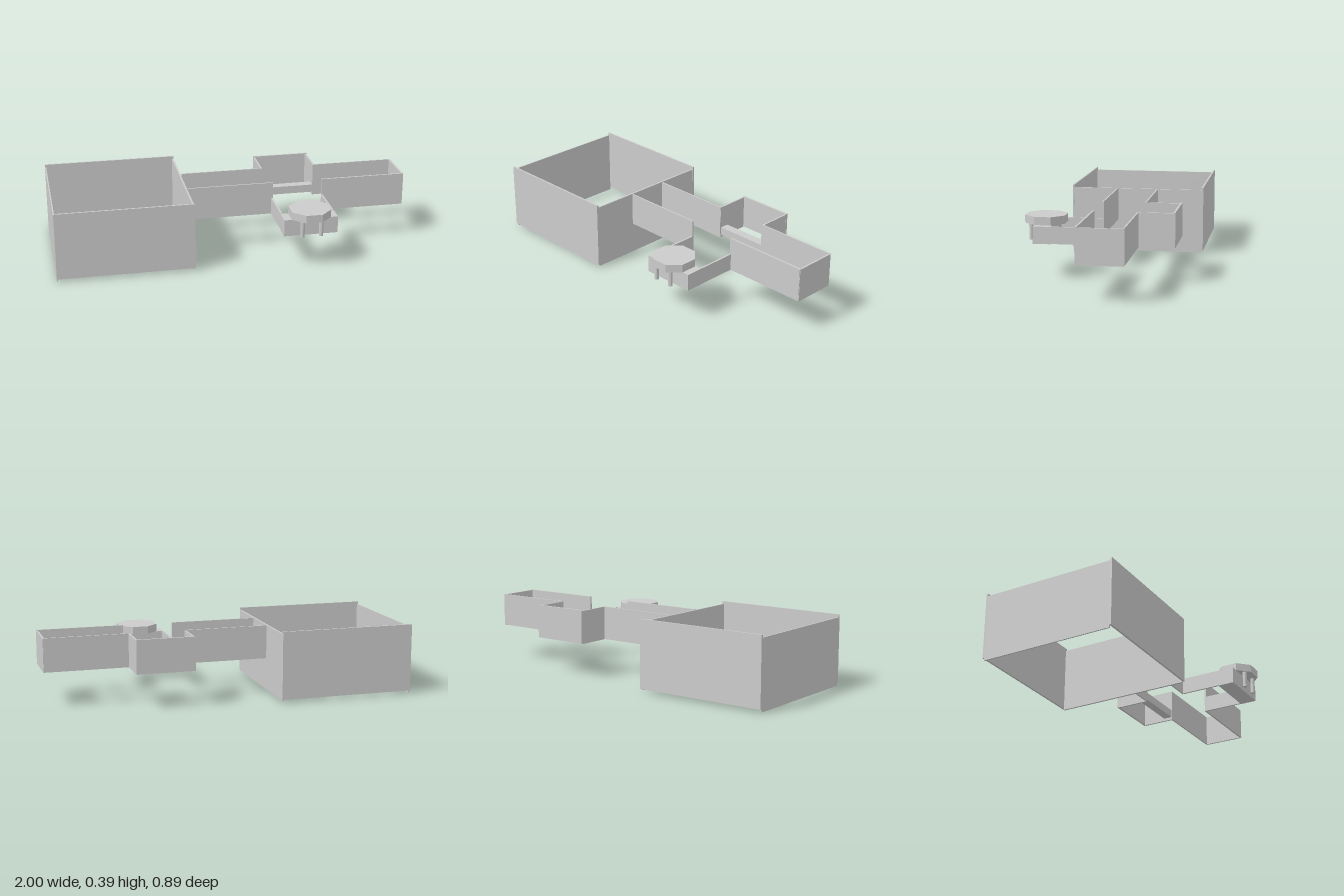
import * as THREE from 'three';

export function createModel() {
  const model = new THREE.Group();
  const material = new THREE.MeshStandardMaterial({ color: 0xcccccc, flatShading: true });

  const add = (parent, name, geometry, x, y, z) => {
    const mesh = new THREE.Mesh(geometry, material);
    mesh.name = name;
    mesh.position.set(x, y, z);
    parent.add(mesh);
    return mesh;
  };
  // Box given by its limits on each axis
  const block = (parent, name, [x0, x1], [y0, y1], [z0, z1]) =>
    add(parent, name, new THREE.BoxGeometry(x1 - x0, y1 - y0, z1 - z0),
      (x0 + x1) / 2, (y0 + y1) / 2, (z0 + z1) / 2);
  const group = (name) => {
    const g = new THREE.Group();
    g.name = name;
    model.add(g);
    return g;
  };

  // Large hall: front and back walls sit slightly higher than the side walls
  const hall = group('hall');
  block(hall, 'hallFrontWall', [-1, -0.25], [0.015, 0.389], [0.312, 0.322]);
  block(hall, 'hallBackWall', [-1, -0.25], [0.015, 0.389], [-0.444, -0.434]);
  block(hall, 'hallOuterWall', [-1, -0.993], [0, 0.374], [-0.434, 0.312]);
  block(hall, 'hallInnerWall', [-0.261, -0.251], [0.008, 0.374], [-0.434, 0.312]);

  // Corridor walls, interrupted by the two bays
  const corridor = group('corridor');
  const high = [0.19, 0.375];
  block(corridor, 'corridorBackWallRight', [-0.245, 0.222], high, [-0.181, -0.173]);
  block(corridor, 'corridorBackWallLeft', [0.53, 0.993], high, [-0.184, -0.176]);
  block(corridor, 'corridorFrontWallRight', [-0.245, 0.235], high, [0.052, 0.06]);
  block(corridor, 'corridorFrontWallLeft', [0.515, 0.993], high, [0.052, 0.062]);
  block(corridor, 'corridorEndWall', [0.985, 0.995], [0.188, 0.373], [-0.181, 0.059]);

  // Back bay with a low bench across its opening
  const backBay = group('backBay');
  block(backBay, 'backBayWall', [0.214, 0.536], [0.192, 0.378], [-0.376, -0.365]);
  for (const x of [0.214, 0.525]) {
    block(backBay, 'backBaySideWall', [x, x + 0.01], [0.189, 0.374], [-0.366, -0.176]);
  }
  block(backBay, 'bench', [0.223, 0.526], [0.205, 0.25], [-0.23, -0.18]);

  // Front bay with low side walls and a solid counter
  const frontBay = group('frontBay');
  for (const x of [0.225, 0.513]) {
    block(frontBay, 'frontBaySideWall', [x, x + 0.01], [0.19, 0.282], [0.06, 0.288]);
  }
  block(frontBay, 'counter', [0.224, 0.522], [0.188, 0.281], [0.288, 0.382]);

  // Octagonal table top on two posts
  const table = group('table');
  const top = add(table, 'tableTop', new THREE.CylinderGeometry(0.117, 0.117, 0.044, 8), 0.374, 0.303, 0.338);
  top.rotation.y = Math.PI / 8;
  for (const x of [0.318, 0.421]) {
    add(table, 'tablePost', new THREE.CylinderGeometry(0.012, 0.012, 0.091, 12), x, 0.2365, 0.412);
  }

  return model;
}
